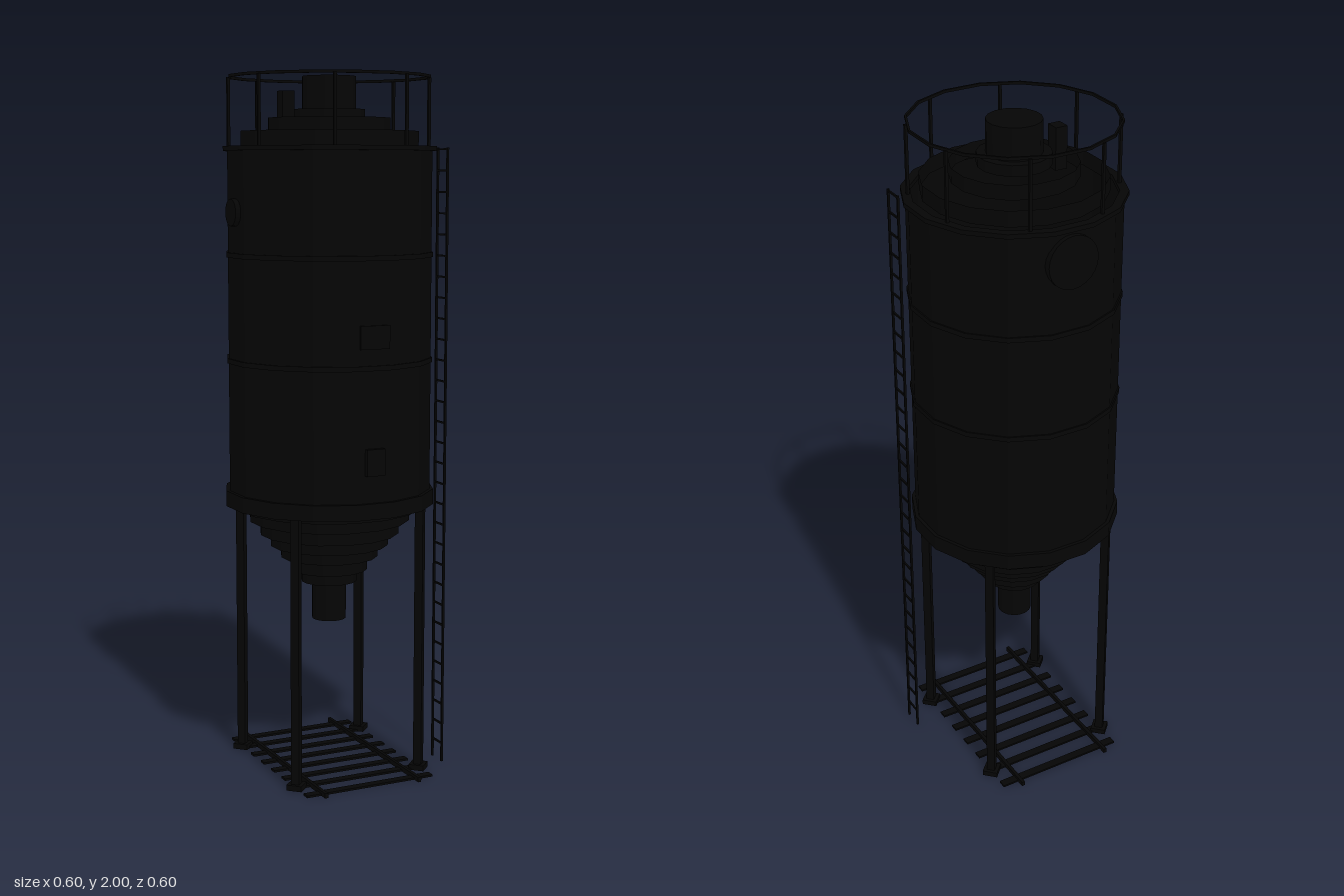
import * as THREE from 'three';

const SIDES = 16;
const TURN = Math.PI / SIDES; // puts a flat side on each axis
const K = 1 / Math.cos(TURN); // flat-to-flat radius -> corner radius

export function createModel() {
  const model = new THREE.Group();
  const steel = new THREE.MeshStandardMaterial({ color: 0x050505, side: THREE.DoubleSide, flatShading: true });
  steel.name = 'blackSteel';

  const add = (name, geometry, x = 0, y = 0, z = 0, parent = model) => {
    const mesh = new THREE.Mesh(geometry, steel);
    mesh.name = name;
    mesh.position.set(x, y, z);
    parent.add(mesh);
    return mesh;
  };
  const box = (name, w, h, d, x, y, z, parent) => add(name, new THREE.BoxGeometry(w, h, d), x, y, z, parent);
  // upright faceted tube from y0 to y1, open at both ends unless capped
  const tube = (name, r, y0, y1, open = true) =>
    add(name, new THREE.CylinderGeometry(r * K, r * K, y1 - y0, SIDES, 1, open, TURN), 0, (y0 + y1) / 2, 0);
  // flat ring with a rectangular section
  const ring = (name, rIn, rOut, y0, y1) => {
    const pts = [[rIn, y0], [rOut, y0], [rOut, y1], [rIn, y1], [rIn, y0]];
    return add(name, new THREE.LatheGeometry(pts.map(([r, y]) => new THREE.Vector2(r * K, y)), SIDES, TURN));
  };

  // tank shell, flanges and seam bands
  tube('tankShell', 0.288, 0.78, 1.8);
  ring('topFlange', 0.275, 0.3, 1.79, 1.803);
  ring('bottomFlange', 0.275, 0.298, 0.78, 0.825);
  for (const y of [1.2, 1.5]) ring('seamBand', 0.286, 0.292, y - 0.007, y + 0.007);

  // stepped roof of open tiers, closed by the hatch
  tube('roofTier', 0.25, 1.8, 1.845);
  tube('roofTier', 0.172, 1.84, 1.882);
  tube('hatchBase', 0.1, 1.875, 1.906, false);
  tube('hatchNeck', 0.075, 1.9, 1.998, false);
  box('roofVent', 0.036, 0.12, 0.04, -0.134, 1.895, 0);

  // stepped hopper and outlet
  const tiers = [0.765, 0.73, 0.69, 0.655, 0.62, 0.58, 0.545];
  tiers.forEach((y, i) => tube('hopperTier', 0.26 - i * 0.03, y, i ? tiers[i - 1] + 0.003 : 0.79));
  tube('outletSpout', 0.049, 0.432, 0.55);

  // guard rail
  ring('guardRail', 0.276, 0.282, 1.992, 2.0);
  for (let i = 0; i < 8; i++) {
    const a = (i + 0.5) * Math.PI / 4;
    box('railPost', 0.008, 0.2, 0.008, 0.284 * Math.cos(a), 1.895, 0.284 * Math.sin(a));
  }

  // legs and foot plates, turned to face the tank axis
  for (const x of [-0.196, 0.196]) for (const z of [-0.196, 0.196]) {
    const leg = new THREE.Group();
    leg.name = 'leg';
    leg.position.set(x, 0, z);
    leg.rotation.y = Math.PI / 4;
    model.add(leg);
    box('legPost', 0.024, 0.8, 0.024, 0, 0.4, 0, leg);
    box('footPlate', 0.045, 0.016, 0.045, 0, 0.008, 0, leg);
  }

  // ground frame
  for (let i = 0; i < 8; i++) box('crossBeam', 0.4, 0.006, 0.025, 0, 0.003, (i - 3.5) * 0.0755);
  for (const x of [-0.151, 0.145]) box('longBeam', 0.01, 0.014, 0.6, x, 0.007, 0);

  // ladder
  const ladder = new THREE.Group();
  ladder.name = 'ladder';
  ladder.position.set(0.288, 0, 0.145);
  model.add(ladder);
  for (const z of [-0.028, 0.028]) box('ladderRail', 0.006, 1.8, 0.006, 0, 0.9, z, ladder);
  for (let i = 0; i < 30; i++) box('ladderRung', 0.005, 0.005, 0.056, 0, 0.055 + i * 0.06, 0, ladder);

  // fittings on the shell
  add('backPort', new THREE.CylinderGeometry(0.075, 0.075, 0.03, 24), 0, 1.705, -0.286).rotation.x = Math.PI / 2;
  add('sidePort', new THREE.CylinderGeometry(0.038, 0.038, 0.03, 20), -0.288, 1.62, 0).rotation.z = Math.PI / 2;
  box('controlBox', 0.055, 0.075, 0.03, 0, 0.94, 0.287);
  box('namePlate', 0.09, 0.065, 0.008, 0, 1.285, 0.29);

  return model;
}
